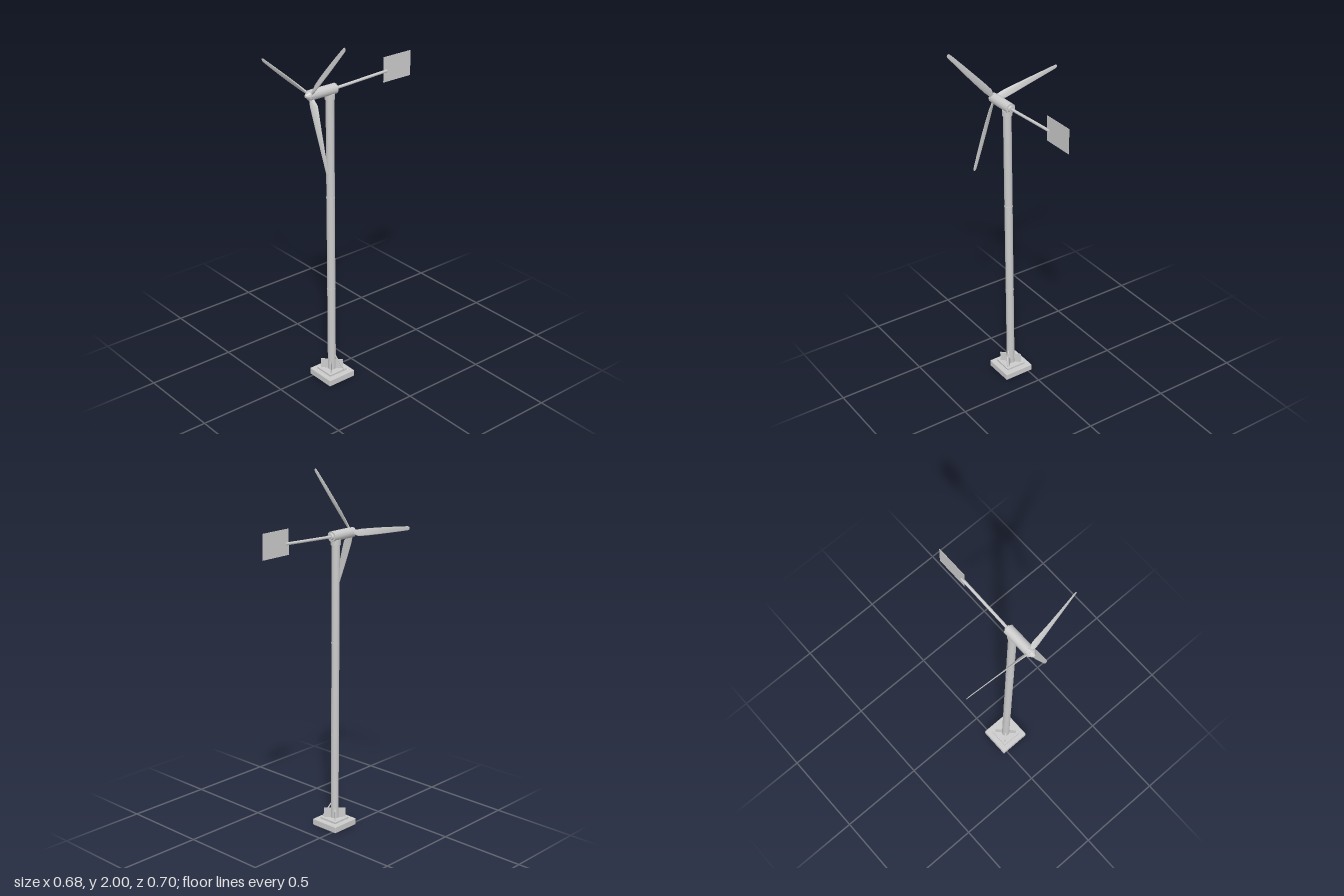
import * as THREE from 'three';
import { RoundedBoxGeometry } from 'three/addons/geometries/RoundedBoxGeometry.js';

const CX = 0.064, CZ = 0.192, AXIS_Y = 1.687;
const smooth = new THREE.MeshStandardMaterial({ color: 0xcccccc });
const flat = new THREE.MeshStandardMaterial({ color: 0xcccccc, flatShading: true });
const thin = new THREE.MeshStandardMaterial({ color: 0xcccccc, side: THREE.DoubleSide });

function add(parent, name, geometry, x, y, z, material = smooth) {
  const mesh = new THREE.Mesh(geometry, material);
  mesh.name = name;
  mesh.position.set(x, y, z);
  parent.add(mesh);
  return mesh;
}

// Tapered rod between two points
function rod(parent, name, a, b, ra, rb, sides, material = smooth) {
  const from = new THREE.Vector3(...a), to = new THREE.Vector3(...b);
  const dir = to.clone().sub(from);
  const mid = from.clone().add(to).multiplyScalar(0.5);
  const mesh = add(parent, name, new THREE.CylinderGeometry(rb, ra, dir.length(), sides), mid.x, mid.y, mid.z, material);
  mesh.quaternion.setFromUnitVectors(new THREE.Vector3(0, 1, 0), dir.normalize());
  return mesh;
}

// Twisted blade along +y: [height, leading edge, trailing edge, half thickness, pitch in degrees]
function bladeGeometry() {
  const sections = [
    [0.010, 0.010, -0.010, 0.007, 40], [0.030, 0.013, -0.016, 0.006, 38],
    [0.060, 0.016, -0.027, 0.005, 32], [0.120, 0.016, -0.025, 0.004, 24],
    [0.200, 0.015, -0.021, 0.003, 16], [0.290, 0.013, -0.017, 0.0024, 10],
    [0.370, 0.011, -0.013, 0.0018, 6], [0.402, 0.010, -0.011, 0.0014, 5],
    [0.411, 0.007, -0.008, 0.001, 5], [0.415, 0.001, -0.002, 0.0004, 5],
  ];
  const n = 12, pos = [], idx = [];
  sections.forEach(([y, lead, trail, t, deg], s) => {
    const p = THREE.MathUtils.degToRad(deg);
    for (let i = 0; i < n; i++) {
      const a = (i / n) * Math.PI * 2;
      const c = (lead + trail) / 2 + Math.cos(a) * (lead - trail) / 2;
      const h = Math.sin(a) * t * (1 + 0.4 * Math.cos(a));
      pos.push(c * Math.cos(p) - h * Math.sin(p), y, c * Math.sin(p) + h * Math.cos(p));
      if (s < sections.length - 1) {
        const a0 = s * n + i, a1 = s * n + (i + 1) % n;
        idx.push(a0, a0 + n, a1, a1, a0 + n, a1 + n);
      }
    }
  });
  const g = new THREE.BufferGeometry();
  g.setAttribute('position', new THREE.Float32BufferAttribute(pos, 3));
  g.setIndex(idx);
  g.computeVertexNormals();
  return g;
}

export function createModel() {
  const model = new THREE.Group();
  model.name = 'windTurbine';

  // Foundation with stepped plate
  const foundation = new THREE.Group();
  foundation.name = 'foundation';
  model.add(foundation);
  add(foundation, 'baseSlab', new RoundedBoxGeometry(0.176, 0.038, 0.174, 1, 0.004), CX, 0.019, 0.19);
  add(foundation, 'basePlate', new THREE.BoxGeometry(0.114, 0.012, 0.114), CX, 0.042, CZ);

  // Diagonal gusset plates crossing at the tower foot
  for (const angle of [Math.PI / 4, -Math.PI / 4]) {
    add(foundation, 'gusset', new THREE.BoxGeometry(0.122, 0.056, 0.004), CX, 0.076, CZ).rotation.y = angle;
  }
  rod(foundation, 'cableConduit', [0.122, 0.045, 0.151], [0.077, 0.145, 0.188], 0.004, 0.004, 8);

  // Tower in three lengths with joint rings
  const joints = [0.045, 0.55, 1.09, 1.645];
  for (let i = 0; i < 3; i++) {
    rod(model, 'towerSection', [CX, joints[i], CZ], [CX, joints[i + 1], CZ], 0.0225, 0.0225, 12);
    if (i) add(model, 'towerJoint', new THREE.CylinderGeometry(0.0238, 0.0238, 0.006, 12), CX, joints[i], CZ);
  }

  // Yaw bearing and generator housing
  add(model, 'yawBearing', new THREE.CylinderGeometry(0.027, 0.027, 0.03, 16), CX, 1.652, CZ);
  rod(model, 'nacelle', [CX, AXIS_Y, 0.158], [CX, AXIS_Y, 0.306], 0.028, 0.028, 20);
  rod(model, 'tailSocket', [CX, AXIS_Y, 0.148], [CX, AXIS_Y, 0.16], 0.016, 0.02, 12);

  // Tail boom and vane
  rod(model, 'tailBoom', [CX, 1.686, 0.16], [CX, 1.702, -0.187], 0.008, 0.008, 10);
  add(model, 'tailVane', new THREE.BoxGeometry(0.002, 0.138, 0.186), CX, 1.711, -0.258, thin);

  // Rotor: hub, nose cone and three blades
  const rotor = new THREE.Group();
  rotor.name = 'rotor';
  rotor.position.set(CX, AXIS_Y, 0.316);
  model.add(rotor);
  rod(rotor, 'hub', [0, 0, -0.011], [0, 0, 0.011], 0.027, 0.027, 12, flat);
  rod(rotor, 'noseCone', [0, 0, 0.011], [0, 0, 0.033], 0.025, 0.006, 12, flat);
  const blade = bladeGeometry();
  for (let i = 0; i < 3; i++) {
    add(rotor, 'blade', blade, 0, 0, 0).rotation.z = THREE.MathUtils.degToRad(48.7 - 90 + i * 120);
  }
  return model;
}
